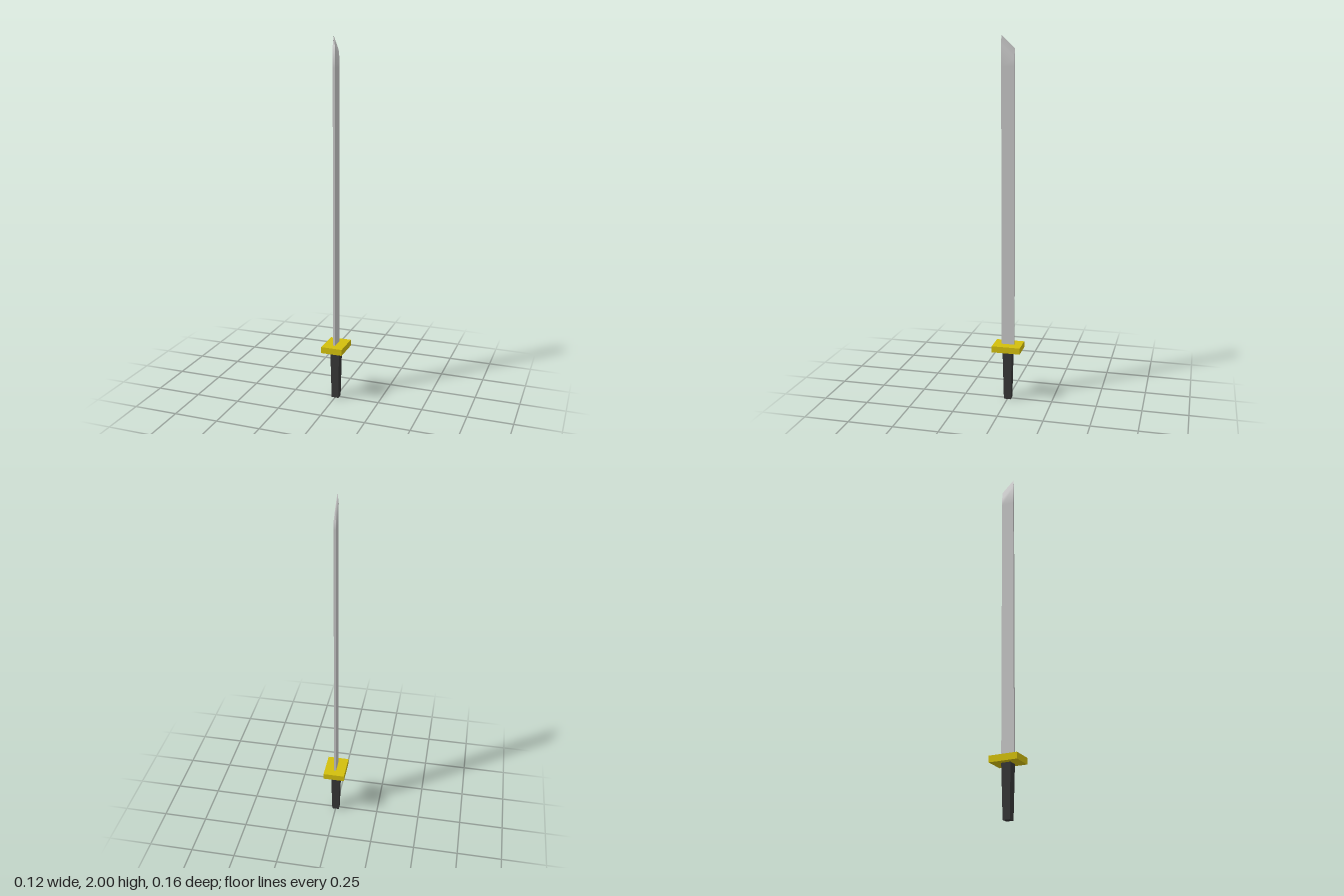
import * as THREE from 'three';

const steel = new THREE.MeshStandardMaterial({ name: 'steel', color: 0xc4c4c4 });
const brass = new THREE.MeshStandardMaterial({ name: 'yellow brass', color: 0xd2be0c });
const grip = new THREE.MeshStandardMaterial({ name: 'black grip', color: 0x363636 });

// Box whose lower end is narrowed by a factor
function taperedBox(w, h, d, factor) {
  const geo = new THREE.BoxGeometry(w, h, d);
  const pos = geo.attributes.position;
  for (let i = 0; i < pos.count; i++) {
    if (pos.getY(i) < 0) {
      pos.setX(i, pos.getX(i) * factor);
      pos.setZ(i, pos.getZ(i) * factor);
    }
  }
  geo.computeVertexNormals();
  return geo;
}

// Blade lofted from four-cornered rings; the upper rings slant and thin to a ridge
function bladeGeometry() {
  const halfZ = 0.036;
  const rings = [
    // height at z = 0, half thickness, slant of y over z, how far normals lean to the tip
    { y: 0.31, x: 0.006, slant: 0, lean: 0 },
    { y: 1.84, x: 0.006, slant: 0, lean: 0 },
    { y: 1.917, x: 0.006, slant: 0.95, lean: 0.45 },
    { y: 1.966, x: 0.0006, slant: 0.95, lean: 0.8 },
  ];
  const corners = [[1, 1], [1, -1], [-1, -1], [-1, 1]];
  const sideNormals = [[1, 0, 0], [0, 0, -1], [-1, 0, 0], [0, 0, 1]];
  const tipNormal = new THREE.Vector3(0, 1, -0.95).normalize();
  const positions = [], normals = [], index = [];

  const addVertex = (ring, corner, normal) => {
    const z = corner[1] * halfZ;
    positions.push(corner[0] * ring.x, ring.y + ring.slant * z, z);
    normals.push(normal.x, normal.y, normal.z);
  };

  // Four sides, each with its own vertices so the long edges stay sharp
  for (let s = 0; s < 4; s++) {
    const start = positions.length / 3;
    rings.forEach((ring, r) => {
      const normal = new THREE.Vector3(...sideNormals[s]).lerp(tipNormal, ring.lean).normalize();
      addVertex(ring, corners[s], normal);
      addVertex(ring, corners[(s + 1) % 4], normal);
      if (r > 0) {
        const a = start + (r - 1) * 2;
        index.push(a, a + 1, a + 3, a, a + 3, a + 2);
      }
    });
  }

  // Narrow ridge closing the tip
  const cap = positions.length / 3;
  corners.forEach((c) => addVertex(rings[3], c, tipNormal));
  index.push(cap, cap + 1, cap + 2, cap, cap + 2, cap + 3);

  const geo = new THREE.BufferGeometry();
  geo.setAttribute('position', new THREE.Float32BufferAttribute(positions, 3));
  geo.setAttribute('normal', new THREE.Float32BufferAttribute(normals, 3));
  geo.setIndex(index);
  return geo;
}

export function createModel() {
  const sword = new THREE.Group();
  sword.name = 'sword';

  const add = (name, geo, material, y) => {
    const mesh = new THREE.Mesh(geo, material);
    mesh.name = name;
    mesh.position.y = y;
    sword.add(mesh);
  };

  add('handle', taperedBox(0.052, 0.29, 0.052, 0.77), grip, 0.145);
  add('guard', new THREE.BoxGeometry(0.12, 0.035, 0.158), brass, 0.303);
  add('blade', bladeGeometry(), steel, 0);

  return sword;
}
